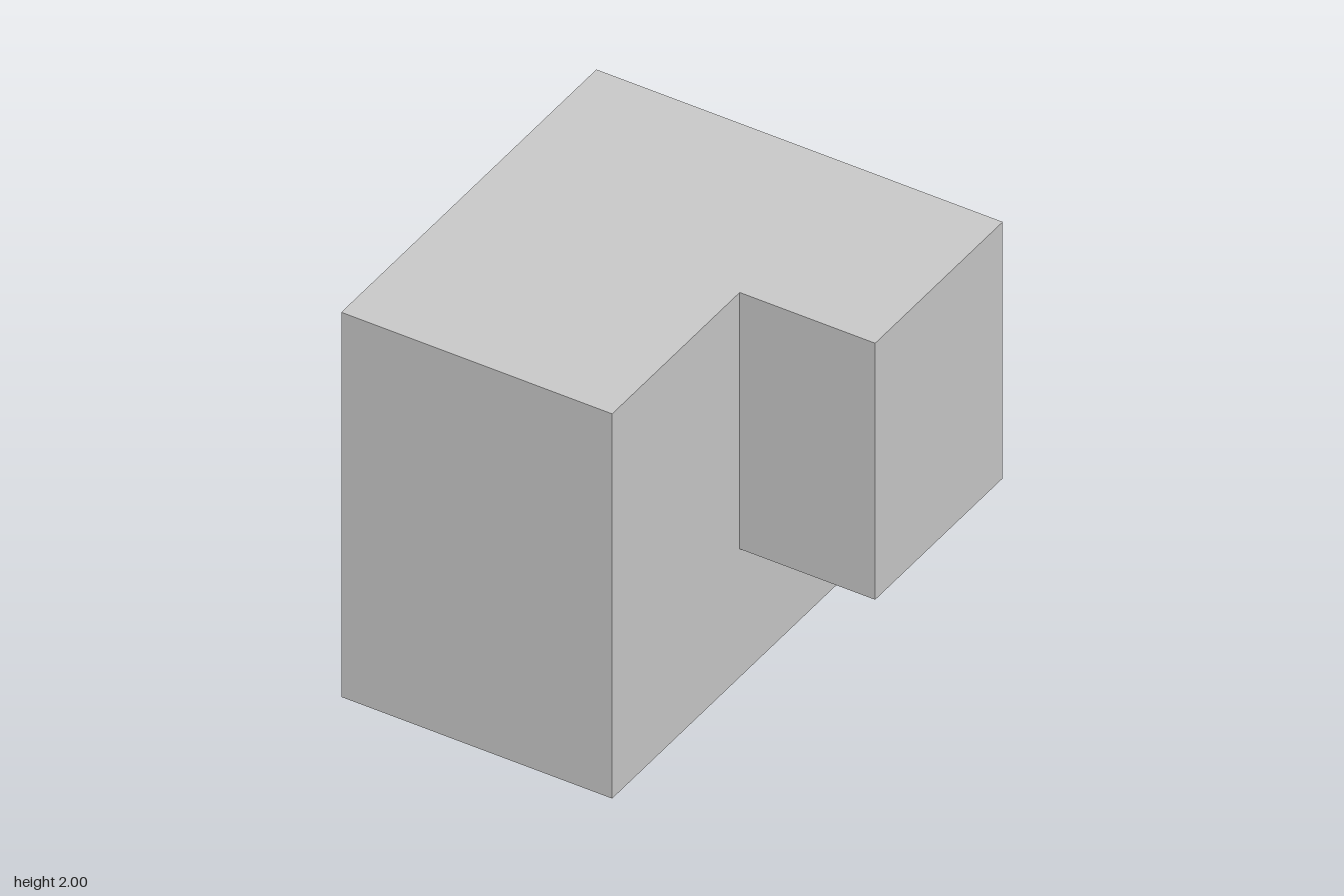
import * as THREE from 'three';

const material = new THREE.MeshStandardMaterial({ color: 0xcccccc, flatShading: true });

// Box spanning two opposite corners
function block(name, min, max) {
  const [w, h, d] = max.map((v, i) => v - min[i]);
  const mesh = new THREE.Mesh(new THREE.BoxGeometry(w, h, d), material);
  mesh.position.set(min[0] + w / 2, min[1] + h / 2, min[2] + d / 2);
  mesh.name = name;
  return mesh;
}

export function createModel() {
  const group = new THREE.Group();
  group.name = 'steppedBlock';
  const stepX = 1 / 3;
  const stepY = 2 / 3;

  // Full-height body
  group.add(block('mainBody', [-1, 0, -1], [stepX, 2, 1]));

  // Raised block overhanging at the rear of the left side
  group.add(block('sideBlock', [stepX, stepY, -1], [1, 2, 0]));

  return group;
}
